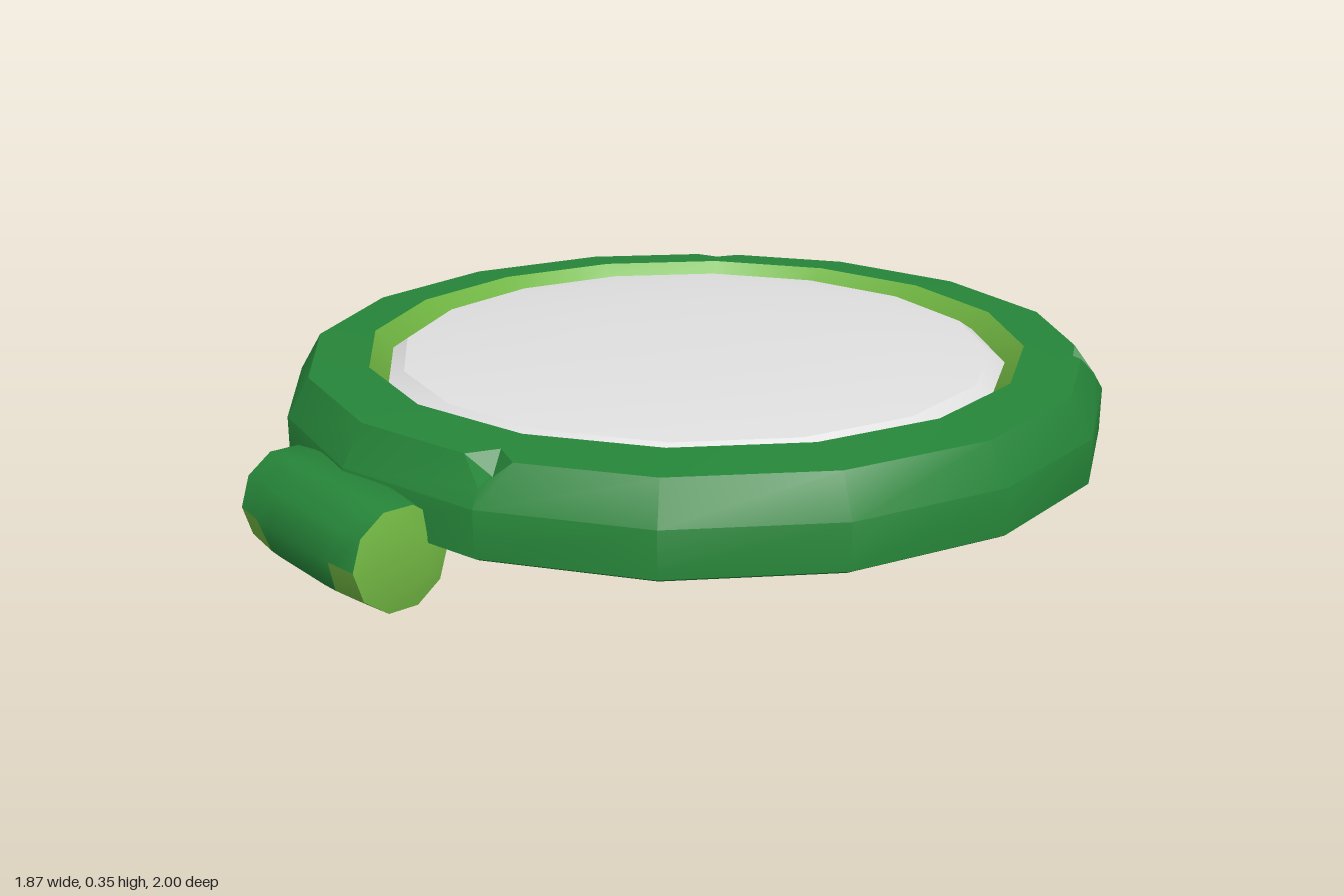
import * as THREE from 'three';
import { toCreasedNormals } from 'three/addons/utils/BufferGeometryUtils.js';

const mat = (name, color, extra = {}) => new THREE.MeshStandardMaterial({ name, color, ...extra });
const SIDES = 16;

// Turn a list of polygons (arrays of Vector3) into a smooth geometry with creases
function polygons(polys, crease) {
  const pos = [];
  for (const p of polys)
    for (let k = 1; k < p.length - 1; k++)
      for (const v of [p[0], p[k], p[k + 1]]) pos.push(v.x, v.y, v.z);
  const g = new THREE.BufferGeometry();
  g.setAttribute('position', new THREE.Float32BufferAttribute(pos, 3));
  return toCreasedNormals(g, crease);
}

// Point on a vertical turned surface
function turned(r, y, i) {
  const a = (i / SIDES) * Math.PI * 2;
  return new THREE.Vector3(r * Math.sin(a), y, r * Math.cos(a));
}

// Revolve a profile; corners on profile point `ridge` at the listed sides get a small dent
function revolve(profile, crease, ridge = -1, notches = []) {
  const polys = [];
  for (let i = 0; i < SIDES; i++) {
    for (let j = 0; j < profile.length - 1; j++) {
      const ids = [[i, j], [(i + 1) % SIDES, j], [(i + 1) % SIDES, j + 1], [i, j + 1]];
      const pts = ids.map(([s, k]) => turned(...profile[k], s));
      const poly = [];
      ids.forEach(([s, k], c) => {
        if (k === profile.length - 1 && profile[k][0] === 0 && c === 3) return; // apex is one point
        if (k !== ridge || !notches.includes(s)) return poly.push(pts[c]);
        const cut = (to) => pts[c].clone().add(to.clone().sub(pts[c]).setLength(0.056));
        const before = cut(pts[(c + 3) % 4]);
        const after = cut(pts[(c + 1) % 4]);
        poly.push(before, after);
        polys.push([before, turned(0.862, 0.282, s), after]);
      });
      polys.push(poly);
    }
  }
  return polygons(polys, crease);
}

// Barrel-shaped hinge lying along x, with painted lower front ends
function hinge(green, lime) {
  const N = 10;
  const point = (x, k, scale = 1) => {
    const a = (k / N) * Math.PI * 2;
    const r = (0.118 - 0.011 * Math.max(0, (Math.abs(x) - 0.1) / 0.125) ** 1.5) * scale;
    return new THREE.Vector3(x, 0.117 + r * 1.04 * Math.sin(a), r * Math.cos(a));
  };
  // inner edge of the painted area at each corner
  const edge = { 0: 0.145, 9: 0.13, 8: 0.115, 7: 0.19 };
  const body = [], paint = [], caps = [];
  for (let k = 0; k < N; k++) {
    const n = (k + 1) % N;
    const e0 = edge[k] ?? 0.16, e1 = edge[n] ?? 0.16;
    const xs0 = [-0.225, -e0, -0.09, 0.09, e0, 0.225];
    const xs1 = [-0.225, -e1, -0.09, 0.09, e1, 0.225];
    for (let s = 0; s < 5; s++) {
      const painted = k >= 7 && (s === 0 || s === 4);
      (painted ? paint : body).push([
        point(xs0[s], k), point(xs0[s + 1], k), point(xs1[s + 1], n), point(xs1[s], n),
      ]);
    }
    // gently domed end caps
    for (const d of [1, -1]) {
      const x = 0.225 * d, xi = 0.235 * d;
      const fan = [
        [point(x, k), point(xi, k, 0.6), point(xi, n, 0.6), point(x, n)],
        [point(xi, k, 0.6), new THREE.Vector3(xi, 0.117, 0), point(xi, n, 0.6)],
      ];
      for (const f of fan) caps.push(d > 0 ? f : f.reverse());
    }
  }
  const group = new THREE.Group();
  group.name = 'hinge';
  const add = (name, polys, m) => {
    const mesh = new THREE.Mesh(polygons(polys, 0.75), m);
    mesh.name = name;
    group.add(mesh);
  };
  add('hingeBarrel', body, green);
  add('hingePaintedEnds', paint, lime);
  add('hingeCaps', caps, lime);
  group.position.z = 0.882;
  return group;
}

export function createModel() {
  const green = mat('green', 0x268539);
  const lime = mat('light green', 0x72b843);
  const glass = mat('pale grey', 0xdfdfdf, { side: THREE.DoubleSide });

  const model = new THREE.Group();
  model.name = 'roundLid';
  const lid = new THREE.Group();
  lid.name = 'lid';
  lid.position.z = -0.0635;
  model.add(lid);

  const add = (name, geometry, material) => {
    const mesh = new THREE.Mesh(geometry, material);
    mesh.name = name;
    lid.add(mesh);
  };

  // Outer ring with three small notches on its upper edge
  add('outerRing', revolve(
    [[0.918, 0.13], [0.936, 0.14], [0.936, 0.24], [0.886, 0.325], [0.753, 0.336]], 0.6, 3, [1, 6, 10]), green);

  // Sloping inner wall and hollow underside
  add('lining', revolve(
    [[0.753, 0.336], [0.7, 0.272], [0.644, 0.17], [0.73, 0.2], [0.83, 0.205], [0.918, 0.13]], 0.6), lime);

  // Thin domed panel with a bevelled rim
  add('panel', revolve(
    [[0.712, 0.296], [0.677, 0.32], [0.52, 0.339], [0.27, 0.348], [0, 0.351]], 0.3), glass);

  model.add(hinge(green, lime));
  return model;
}
